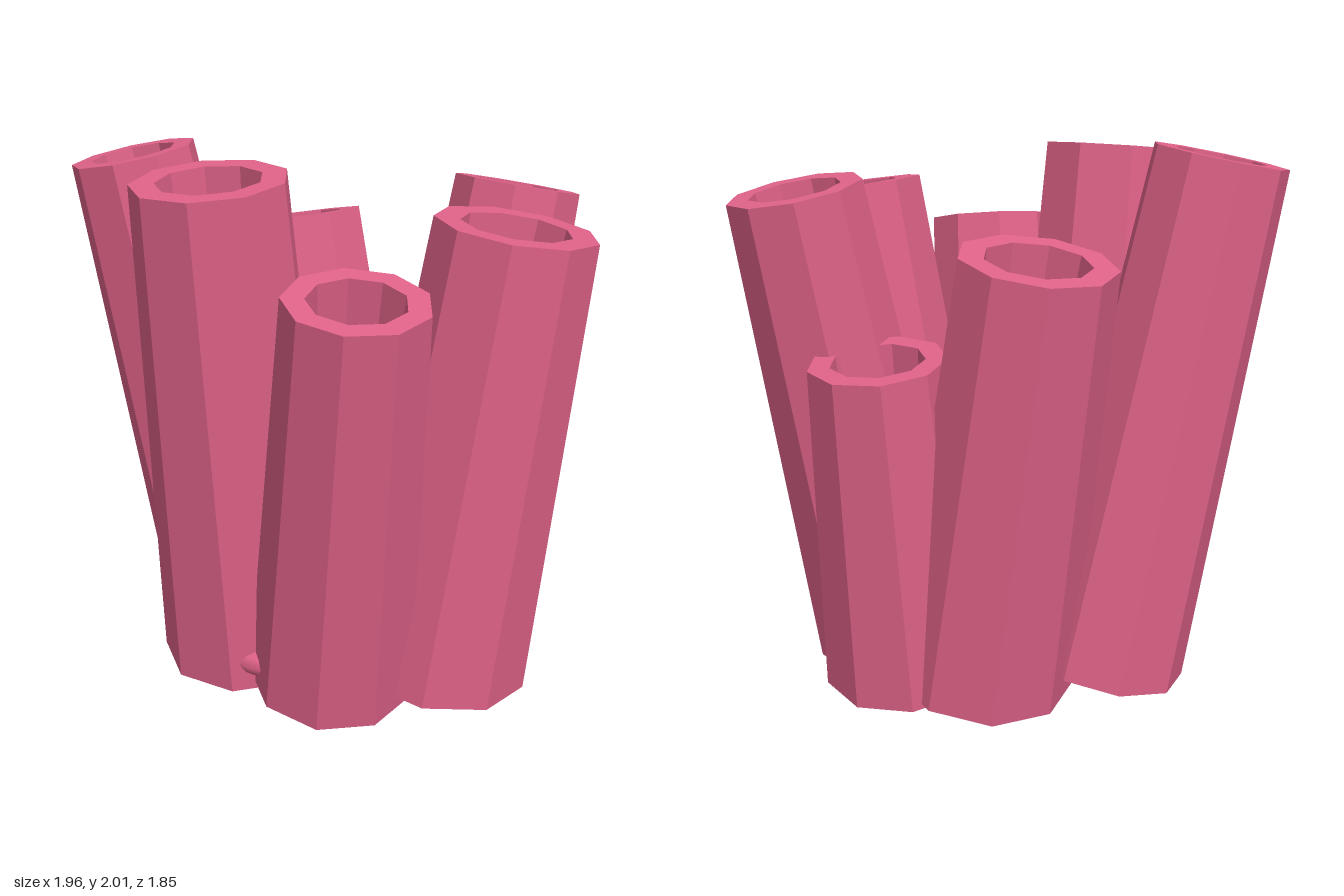
import * as THREE from 'three';

const SIDES = 9;

// Closed, faceted profile of a tapering tube with a hollow mouth
function tubeGeometry(rBase, rTop, length) {
  const floor = length - 0.78;
  const profile = [
    [0, 0], [rBase, 0], [rTop, length],
    [rTop * 0.68, length], [rTop * 0.48, floor], [0, floor],
  ].map(([r, y]) => new THREE.Vector2(r, y));
  const geometry = new THREE.LatheGeometry(profile, SIDES, -Math.PI / 2).toNonIndexed();
  geometry.computeVertexNormals();
  return geometry;
}

export function createModel() {
  const group = new THREE.Group();
  group.name = 'tubeCluster';
  const pink = new THREE.MeshStandardMaterial({ color: 0xdf6288 });
  pink.name = 'coralPink';

  // Leaning tubes: base x, z; mouth x, y, z; mouth radius
  const tubes = [
    ['backTube', 0.09, -0.425, -0.117, 1.645, -0.66, 0.274],
    ['shortTube', 0.375, -0.405, 0.435, 1.28, -0.565, 0.245],
    ['backLeftTube', 0.455, -0.11, 0.75, 1.835, -0.315, 0.245],
    ['frontLeftTube', 0.43, 0.25, 0.67, 1.79, 0.31, 0.292],
    ['frontTube', 0.035, 0.36, 0.115, 1.62, 0.68, 0.255],
    ['frontRightTube', -0.285, 0.095, -0.395, 1.945, 0.28, 0.284],
    ['rightTube', -0.365, -0.31, -0.74, 1.955, -0.285, 0.244],
  ];
  const up = new THREE.Vector3(0, 1, 0);
  for (const [name, bx, bz, tx, ty, tz, r] of tubes) {
    const base = new THREE.Vector3(bx, 0.06, bz);
    const axis = new THREE.Vector3(tx, ty, tz).sub(base);
    const tube = new THREE.Mesh(tubeGeometry(r * 1.25, r, axis.length()), pink);
    tube.name = name;
    tube.position.copy(base);
    tube.quaternion.setFromUnitVectors(up, axis.normalize());
    group.add(tube);
  }

  // Smooth low mound joining the tubes at the foot
  const mound = new THREE.Mesh(new THREE.SphereGeometry(1, 24, 12), pink);
  mound.name = 'baseMound';
  mound.scale.set(0.55, 0.13, 0.55);
  mound.position.y = 0.14;
  group.add(mound);

  return group;
}
